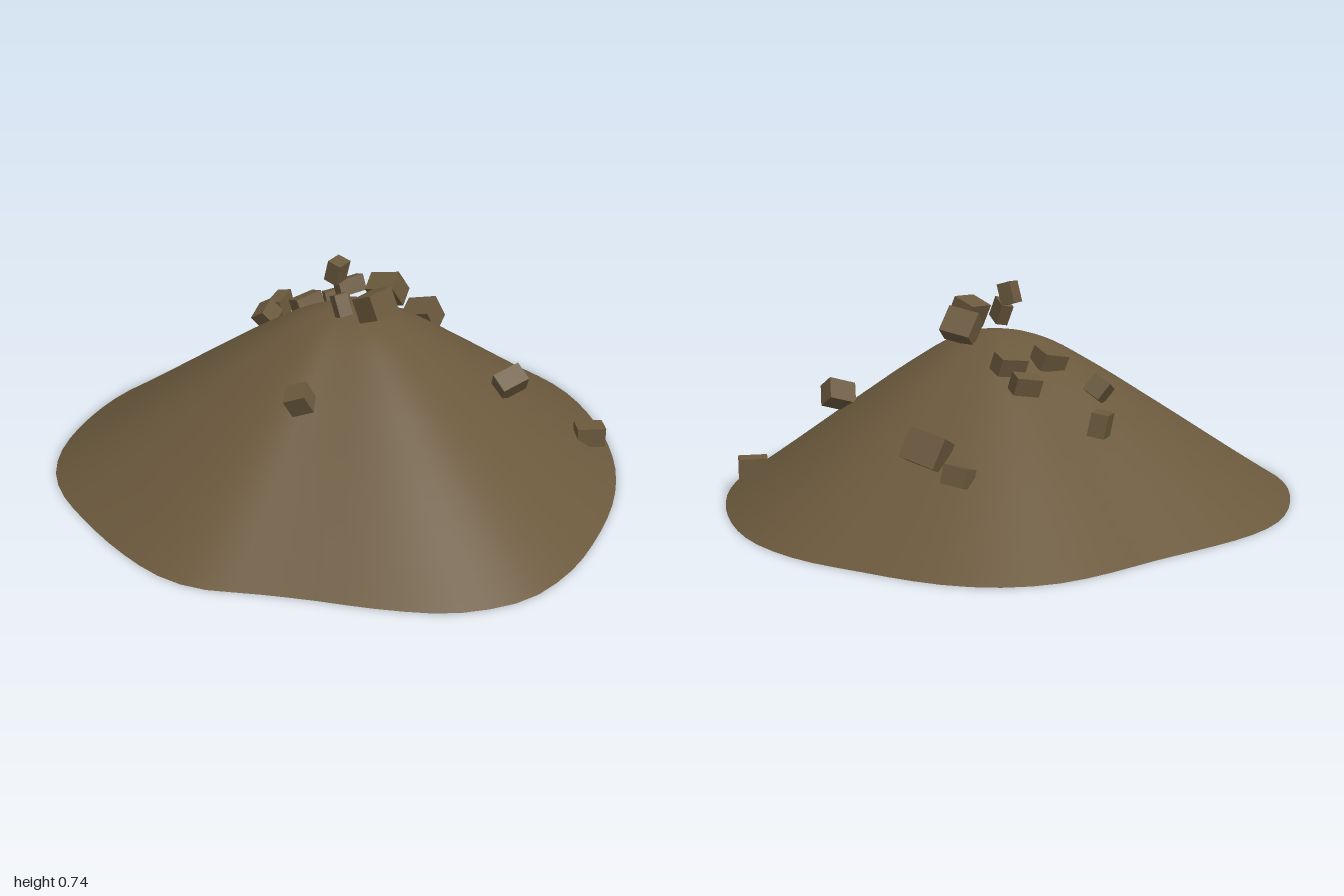
import * as THREE from 'three';

const earth = new THREE.MeshStandardMaterial({ color: 0x6b593d });
earth.name = 'earth brown';

// Footprint of the mound as x, z pairs, running clockwise seen from above
const OUTLINE = [
  [-0.10, -0.99], [0.13, -0.985], [0.37, -0.91], [0.60, -0.74], [0.80, -0.50], [0.92, -0.25],
  [0.985, 0.03], [1.0, 0.22], [0.97, 0.41], [0.90, 0.53], [0.80, 0.63], [0.62, 0.73],
  [0.43, 0.81], [0.28, 0.88], [0.12, 0.96], [-0.02, 0.98], [-0.22, 0.95], [-0.45, 0.88],
  [-0.62, 0.81], [-0.74, 0.73], [-0.83, 0.63], [-0.90, 0.51], [-0.97, 0.31], [-1.0, 0.12],
  [-0.99, -0.02], [-0.95, -0.16], [-0.89, -0.30], [-0.81, -0.47], [-0.71, -0.70],
  [-0.64, -0.81], [-0.54, -0.90], [-0.41, -0.96], [-0.27, -0.985],
];

// Slope from the summit (0) to the rim (1)
const PROFILE = [
  [0, 0.573], [0.1, 0.56], [0.2, 0.523], [0.3, 0.465], [0.4, 0.402],
  [0.5, 0.335], [0.6, 0.268], [0.7, 0.2], [0.8, 0.132], [0.9, 0.065], [1, 0],
];

// Clods: position, size, rotation
const CLODS = [
  [[-0.24, 0.23, -0.67], [0.08, 0.06, 0.065], [0.25, 0.05, 0.1]],
  [[-0.11, 0.29, -0.64], [0.12, 0.1, 0.1], [0.4, 0.2, 0.2]],
  [[0.71, 0.097, -0.47], [0.1, 0.07, 0.07], [0, 0.7, 0]],
  [[0.505, 0.335, -0.24], [0.07, 0.08, 0.1], [0.35, -0.5, -0.45]],
  [[-0.535, 0.35, -0.29], [0.055, 0.075, 0.11], [0.1, 0.25, 0.15]],
  [[-0.425, 0.415, -0.07], [0.065, 0.065, 0.08], [0.4, 0.2, 0.5]],
  [[-0.245, 0.5, -0.08], [0.075, 0.06, 0.1], [0.2, -0.4, 0.4]],
  [[-0.265, 0.45, -0.285], [0.055, 0.06, 0.09], [0.2, -0.65, 0.4]],
  [[-0.205, 0.51, -0.285], [0.06, 0.06, 0.1], [0.15, -0.5, 0.4]],
  [[0.05, 0.6, -0.155], [0.11, 0.095, 0.075], [0.6, 0.2, 0.1]],
  [[-0.045, 0.7, 0.01], [0.05, 0.075, 0.065], [0.05, 0.05, -0.28]],
  [[0.128, 0.622, 0.03], [0.085, 0.085, 0.11], [0.05, -0.1, 0.4]],
  [[0.037, 0.622, 0.1], [0.07, 0.075, 0.045], [0.2, -0.6, 0.5]],
  [[0.103, 0.42, 0.42], [0.075, 0.075, 0.07], [0.45, 0.5, 0.15]],
];

function rimPoints(count) {
  const pts = OUTLINE.map(([x, z]) => new THREE.Vector3(x, 0, z));
  return new THREE.CatmullRomCurve3(pts, true).getSpacedPoints(count).slice(0, count);
}

function makeGeometry(positions, indices) {
  const g = new THREE.BufferGeometry();
  g.setAttribute('position', new THREE.Float32BufferAttribute(positions, 3));
  g.setIndex(indices);
  g.computeVertexNormals();
  return g;
}

// Rings of the footprint shrink up the slope to the summit
function moundGeometry(rim) {
  const n = rim.length;
  const rings = new THREE.SplineCurve(PROFILE.map(([t, y]) => new THREE.Vector2(t, y))).getPoints(30).slice(1);
  const pos = [0, PROFILE[0][1], 0];
  const idx = [];
  rings.forEach((ring, i) => {
    rim.forEach((p, j) => {
      pos.push(p.x * ring.x, Math.max(0, ring.y), p.z * ring.x);
      const k = (j + 1) % n;
      const c = 1 + i * n + j, d = 1 + i * n + k;
      if (i === 0) idx.push(0, d, c);
      else idx.push(c - n, d - n, d, c - n, d, c);
    });
  });
  return makeGeometry(pos, idx);
}

// Flat underside
function baseGeometry(rim) {
  const pos = [0, 0, 0];
  const idx = [];
  rim.forEach((p, j) => {
    pos.push(p.x, 0, p.z);
    idx.push(0, 1 + j, 1 + ((j + 1) % rim.length));
  });
  return makeGeometry(pos, idx);
}

export function createModel() {
  const model = new THREE.Group();
  model.name = 'dirtMound';
  const rim = rimPoints(72);

  const add = (name, geometry, parent = model) => {
    const mesh = new THREE.Mesh(geometry, earth);
    mesh.name = name;
    parent.add(mesh);
    return mesh;
  };

  add('mound', moundGeometry(rim));
  add('underside', baseGeometry(rim));

  // Loose clods scattered over the slope
  const clods = new THREE.Group();
  clods.name = 'clods';
  model.add(clods);
  CLODS.forEach(([position, size, rotation], i) => {
    const clod = add(`clod${i + 1}`, new THREE.BoxGeometry(...size), clods);
    clod.position.set(...position);
    clod.rotation.set(...rotation);
  });

  return model;
}
